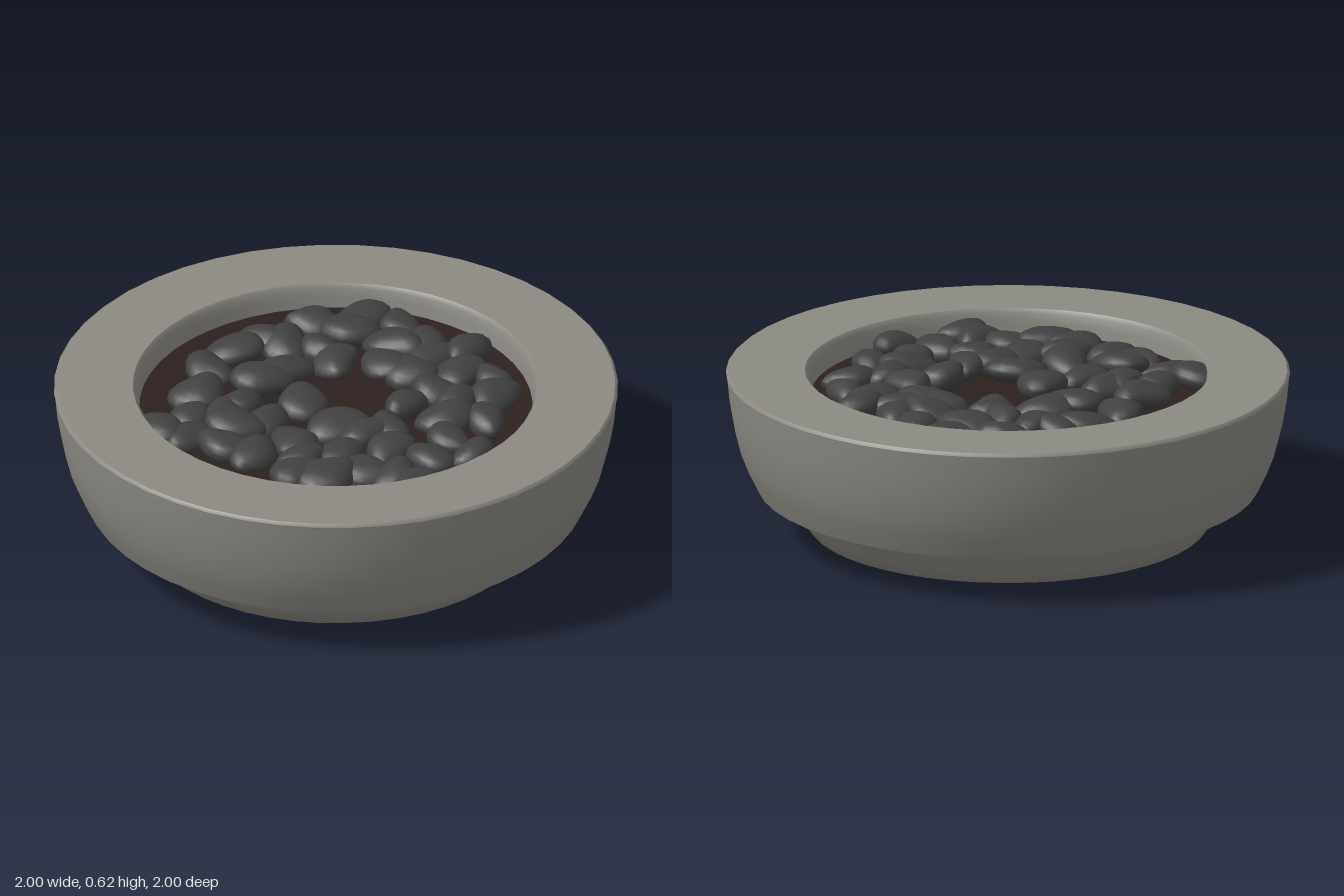
import * as THREE from 'three';

const stone = new THREE.MeshStandardMaterial({ name: 'grey stone', color: 0x8b8982 });
const soilMat = new THREE.MeshStandardMaterial({ name: 'dark soil', color: 0x2e2120 });
const pebbleMat = new THREE.MeshStandardMaterial({ name: 'charcoal pebble', color: 0x404040 });

// small seeded generator
function seeded(seed) {
  let s = seed;
  return () => (s = (s * 16807) % 2147483647) / 2147483647;
}

function lathe(name, points, material) {
  const geo = new THREE.LatheGeometry(points.map(([r, y]) => new THREE.Vector2(r, y)), 48);
  const mesh = new THREE.Mesh(geo, material);
  mesh.name = name;
  return mesh;
}

// sphere squashed into a lumpy, slightly bent bean
function pebbleGeometry(rand) {
  const geo = new THREE.SphereGeometry(1, 18, 12);
  const p = geo.attributes.position;
  const bend = (rand() - 0.5) * 0.6;
  const taper = (rand() - 0.5) * 0.45;
  const lump = 0.04 + rand() * 0.08;
  const phase = rand() * 6;
  for (let i = 0; i < p.count; i++) {
    const x = p.getX(i), y = p.getY(i), z = p.getZ(i);
    const k = 1 + lump * Math.sin(3 * x + phase) * Math.cos(3 * z + phase + y);
    p.setXYZ(i, x * k, y * k * (1 + taper * x * 0.5), z * k * (1 + taper * x) + bend * (x * x - 0.4));
  }
  geo.computeVertexNormals();
  // match the normals along the sphere seam
  const n = geo.attributes.normal;
  for (let row = 0; row <= 12; row++) {
    const a = row * 19, b = a + 18;
    const v = new THREE.Vector3().fromBufferAttribute(n, a)
      .add(new THREE.Vector3().fromBufferAttribute(n, b)).normalize();
    n.setXYZ(a, v.x, v.y, v.z);
    n.setXYZ(b, v.x, v.y, v.z);
  }
  return geo;
}

// pebble centres as x, z pairs
const spots = [
  -0.19, -0.57, -0.03, -0.57, 0.10, -0.51, 0.26, -0.52, -0.18, -0.46, -0.32, -0.45,
  0.01, -0.43, 0.17, -0.42, 0.30, -0.38, 0.42, -0.40, 0.49, -0.28, -0.34, -0.28,
  -0.43, -0.27, -0.22, -0.31, -0.12, -0.24, 0.03, -0.32, 0.14, -0.30, 0.29, -0.21,
  0.40, -0.18, -0.49, -0.16, -0.26, -0.12, -0.50, 0.01, -0.30, -0.01, 0.24, -0.07,
  0.41, -0.05, 0.54, -0.10, 0.48, 0.06, 0.61, 0.13, 0.26, 0.09, -0.09, 0.08,
  0.09, 0.16, 0.21, 0.17, -0.45, 0.19, -0.29, 0.18, -0.15, 0.25, 0.48, 0.21,
  0.33, 0.23, 0.00, 0.34, 0.19, 0.32, -0.39, 0.36, -0.21, 0.37, 0.33, 0.40,
  0.43, 0.38, 0.52, 0.40, -0.34, 0.47, -0.46, 0.49, -0.20, 0.48, -0.08, 0.49,
  0.08, 0.43, 0.12, 0.52, 0.22, 0.50, -0.30, 0.27,
];

function createPebbles() {
  const group = new THREE.Group();
  group.name = 'pebbles';
  const rand = seeded(4711);
  for (let i = 0; i < spots.length; i += 2) {
    const x = spots[i], z = spots[i + 1];
    const mesh = new THREE.Mesh(pebbleGeometry(rand), pebbleMat);
    mesh.name = 'pebble';
    const len = 0.09 + rand() * 0.03;
    mesh.scale.set(len, 0.045 + rand() * 0.012, len * (0.65 + rand() * 0.15));
    // one pebble sits on top of the pile
    const raised = Math.hypot(x + 0.21, z - 0.37) < 0.01;
    mesh.position.set(x, raised ? 0.57 : 0.525 + rand() * 0.018, z);
    mesh.rotation.set((rand() - 0.5) * 0.35, rand() * Math.PI, (rand() - 0.5) * 0.35, 'YXZ');
    group.add(mesh);
  }
  return group;
}

export function createModel() {
  const model = new THREE.Group();
  model.name = 'pebble bowl';

  // bowl shell, split wherever the profile has a hard edge
  const bowl = new THREE.Group();
  bowl.name = 'bowl';
  bowl.add(
    lathe('foot', [[0, 0], [0.35, 0.008], [0.6, 0.02], [0.705, 0.03], [0.75, 0.09], [0.81, 0.165]], stone),
    lathe('step', [[0.81, 0.165], [0.89, 0.178]], stone),
    lathe('outerWall', [[0.89, 0.178], [0.925, 0.25], [0.952, 0.32], [0.972, 0.4], [0.988, 0.49], [0.997, 0.585]], stone),
    lathe('rimEdge', [[0.997, 0.585], [1, 0.59], [0.99, 0.6]], stone),
    lathe('rim', [[0.99, 0.6], [0.72, 0.6]], stone),
    lathe('innerWall', [[0.72, 0.6], [0.708, 0.585], [0.703, 0.55], [0.695, 0.49]], stone),
  );

  // soil bed, a little hollow in the middle
  const soil = lathe('soil', [[0.697, 0.513], [0.5, 0.51], [0.25, 0.503], [0, 0.5]], soilMat);

  model.add(bowl, soil, createPebbles());
  return model;
}
